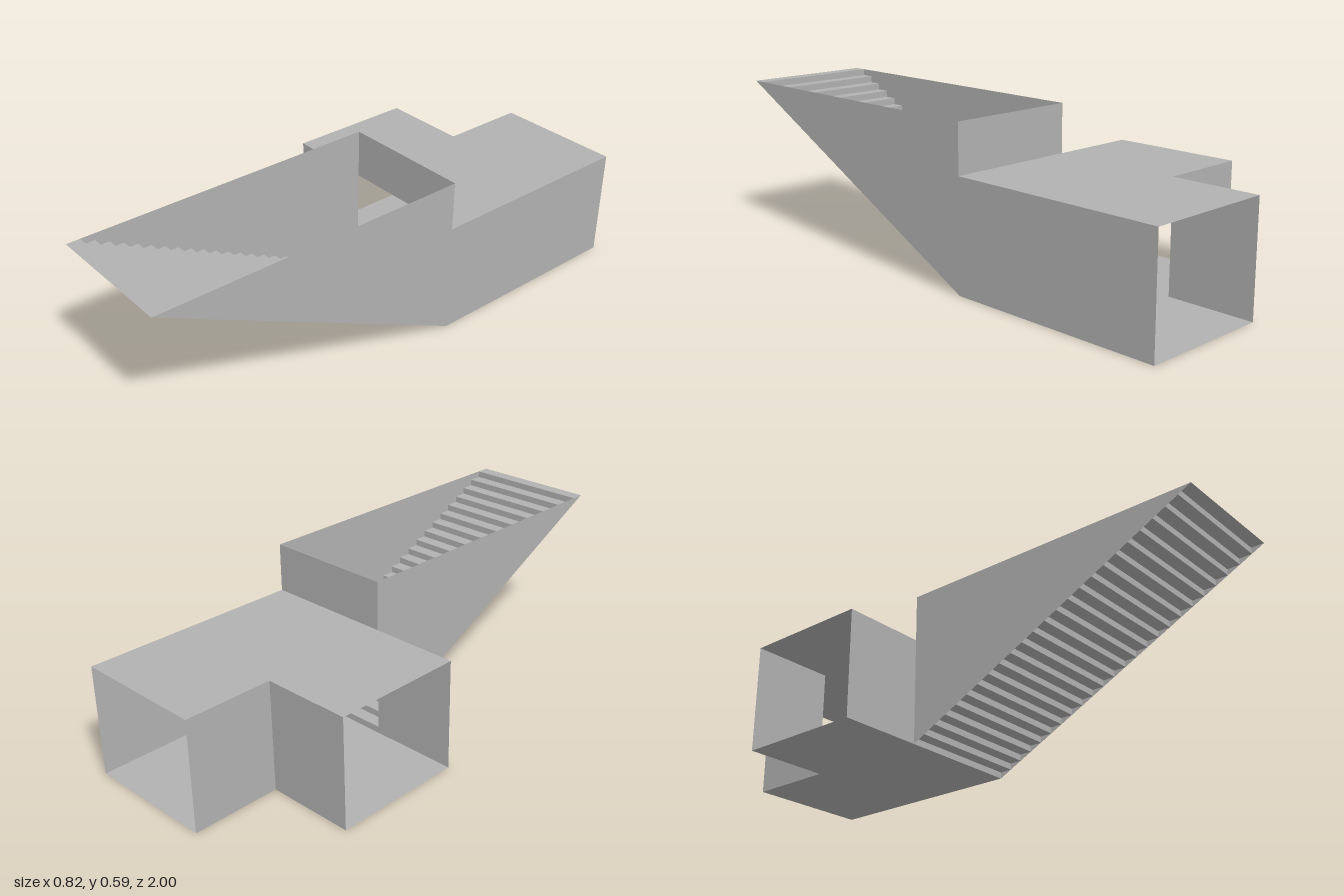
import * as THREE from 'three';
import { mergeGeometries } from 'three/addons/utils/BufferGeometryUtils.js';

// Key planes of the underground passage with its stairway
const LEFT = 0.41, INNER = -0.08, RIGHT = -0.41;
const BACK = -1, SIDE_BACK = -0.67, FOOT = -0.18, FRONT = 1;
const CEILING = 0.41, TOP = 0.59, STEPS = 24;

export function createModel() {
  const model = new THREE.Group();
  const concrete = new THREE.MeshStandardMaterial({ color: 0xb2b2b2, side: THREE.DoubleSide });
  concrete.name = 'concrete grey';

  const add = (name, geometry) => {
    const mesh = new THREE.Mesh(geometry, concrete);
    mesh.name = name;
    model.add(mesh);
  };
  const outline = (points) =>
    new THREE.ShapeGeometry(new THREE.Shape(points.map(([a, b]) => new THREE.Vector2(a, b))));

  // Flat panels: points are (z, y), (x, y) and (x, z)
  const sideWall = (name, x, points) => add(name, outline(points).rotateY(-Math.PI / 2).translate(x, 0, 0));
  const crossWall = (name, z, x0, x1, y0, y1) =>
    add(name, outline([[x0, y0], [x1, y0], [x1, y1], [x0, y1]]).translate(0, 0, z));
  const slab = (name, y, points) => add(name, outline(points).rotateX(Math.PI / 2).translate(0, y, 0));

  // L-shaped floor and ceiling
  const plan = [[LEFT, FOOT], [RIGHT, FOOT], [RIGHT, SIDE_BACK], [INNER, SIDE_BACK], [INNER, BACK], [LEFT, BACK]];
  slab('floor', 0, plan);
  slab('ceiling', CEILING, plan);

  // Passage walls; the back end and the right end stay open
  sideWall('outerWall', LEFT, [[BACK, 0], [FOOT, 0], [FRONT, TOP], [FOOT, TOP], [FOOT, CEILING], [BACK, CEILING]]);
  sideWall('cornerSideWall', INNER, [[BACK, 0], [SIDE_BACK, 0], [SIDE_BACK, CEILING], [BACK, CEILING]]);
  crossWall('cornerBackWall', SIDE_BACK, RIGHT, INNER, 0, CEILING);
  crossWall('branchFrontWall', FOOT, RIGHT, INNER, 0, CEILING);

  // Stairwell: inner wall and the header above the doorway
  sideWall('stairInnerWall', INNER, [[FOOT, 0], [FRONT, TOP], [FOOT, TOP]]);
  crossWall('doorHeader', FOOT, INNER, LEFT, CEILING, TOP);

  // Stairs rise towards the front as a thin folded surface
  const rise = TOP / STEPS, run = (FRONT - FOOT) / STEPS;
  const width = LEFT - INNER, middle = (LEFT + INNER) / 2;
  const faces = [];
  for (let i = 0; i < STEPS; i++) {
    const z = FOOT + i * run;
    faces.push(
      new THREE.PlaneGeometry(width, rise).rotateY(Math.PI).translate(middle, (i + 0.5) * rise, z),
      new THREE.PlaneGeometry(width, run).rotateX(-Math.PI / 2).translate(middle, (i + 1) * rise, z + run / 2)
    );
  }
  add('stairs', mergeGeometries(faces));

  return model;
}
